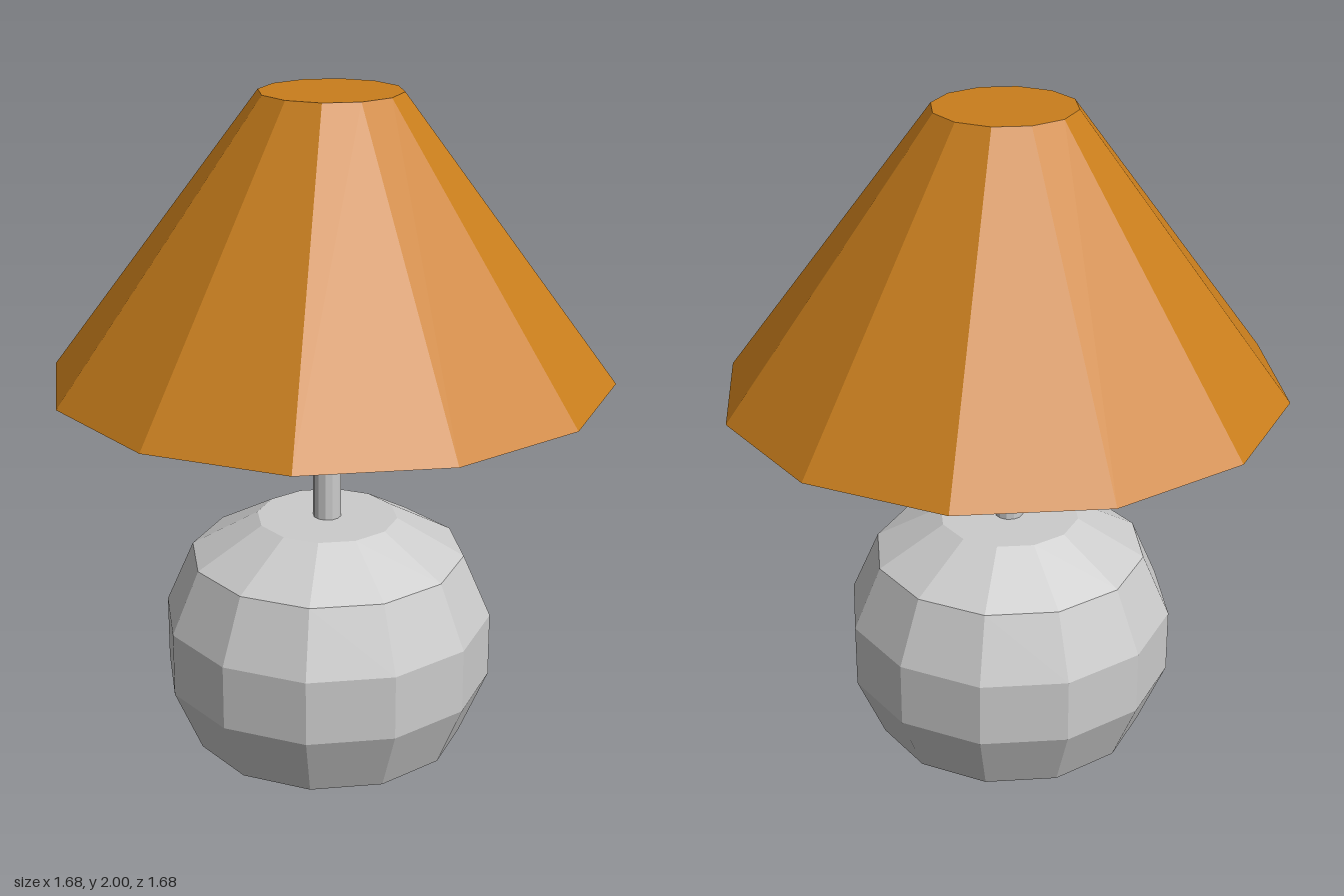
import * as THREE from 'three';

const SIDES = 12;

function addPart(group, name, geometry, color, x, y, z) {
  const material = new THREE.MeshStandardMaterial({ color, flatShading: true });
  const mesh = new THREE.Mesh(geometry, material);
  mesh.name = name;
  mesh.position.set(x, y, z);
  group.add(mesh);
}

export function createModel() {
  const lamp = new THREE.Group();
  lamp.name = 'tableLamp';
  const grey = 0xcccccc, orange = 0xc97e1c;
  const x = -0.01, z = 0.02; // base and stem sit slightly off the shade's axis

  // Faceted round base, closed at top and bottom
  const profile = [[0, 0], [0.42, 0], [0.505, 0.2], [0.505, 0.4], [0.42, 0.595], [0.215, 0.71], [0, 0.71]]
    .map(([r, y]) => new THREE.Vector2(r, y));
  addPart(lamp, 'base', new THREE.LatheGeometry(profile, SIDES), grey, x, 0, z);

  // Thin stem from the base into the shade
  const stemBottom = 0.7, stemTop = 1.17;
  addPart(lamp, 'stem', new THREE.CylinderGeometry(0.043, 0.043, stemTop - stemBottom, SIDES),
    grey, x, (stemBottom + stemTop) / 2, z);

  // Closed conical shade
  const shadeBottom = 1.16, shadeTop = 2;
  addPart(lamp, 'shade', new THREE.CylinderGeometry(0.21, 0.84, shadeTop - shadeBottom, SIDES),
    orange, 0, (shadeBottom + shadeTop) / 2, 0);

  return lamp;
}
